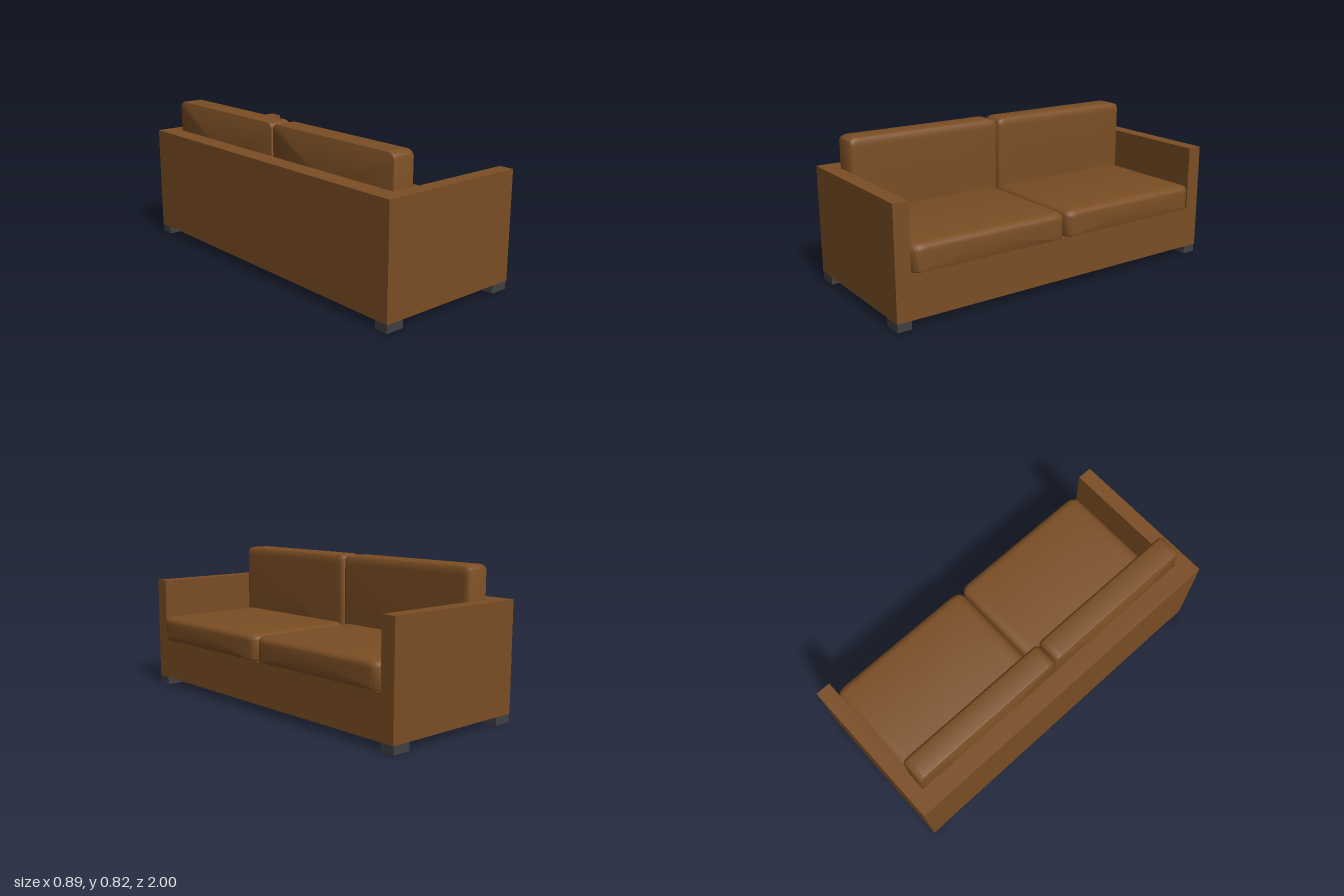
import * as THREE from 'three';
import { toCreasedNormals } from 'three/addons/utils/BufferGeometryUtils.js';

const leather = new THREE.MeshStandardMaterial({ color: 0x7b4e24 });
leather.name = 'brown leather';
const rubber = new THREE.MeshStandardMaterial({ color: 0x404040 });
rubber.name = 'dark grey feet';

// Box given by its min and max along each axis
function box(name, material, [x0, x1], [y0, y1], [z0, z1]) {
  const mesh = new THREE.Mesh(new THREE.BoxGeometry(x1 - x0, y1 - y0, z1 - z0), material);
  mesh.position.set((x0 + x1) / 2, (y0 + y1) / 2, (z0 + z1) / 2);
  mesh.name = name;
  return mesh;
}

// Rounded rectangle in the z-y plane, with softer corners at the top than the bottom
function section(x, z0, z1, y0, y1, topZ, topY, low) {
  const steps = 6, ring = [];
  const corners = [
    [z1 - topZ, y1 - topY, topZ, topY], [z0 + topZ, y1 - topY, topZ, topY],
    [z0 + low, y0 + low, low, low], [z1 - low, y0 + low, low, low],
  ];
  corners.forEach(([z, y, rz, ry], c) => {
    for (let i = 0; i <= steps; i++) {
      const a = (c + i / steps) * Math.PI / 2;
      ring.push([x, y + ry * Math.sin(a), z + rz * Math.cos(a)]);
    }
  });
  return ring;
}

// Cushion lofted from back to front; each profile row is [x, side inset, top inset, bottom inset]
function cushion(name, [z0, z1], [y0, y1], [topZ, topY, low], profile) {
  const rings = profile.map(([x, side, top, bottom]) => section(
    x, z0 + side, z1 - side, y0 + bottom, y1 - top,
    Math.max(topZ - side * 0.5, 0.004), Math.max(topY - top * 0.5, 0.004), low));
  const n = rings[0].length, points = rings.flat(), index = [];
  for (let r = 0; r < rings.length - 1; r++) {
    for (let i = 0; i < n; i++) {
      const a = r * n + i, b = r * n + (i + 1) % n;
      index.push(a, a + n, b, b, a + n, b + n);
    }
  }
  // End caps
  const cy = (y0 + y1) / 2, cz = (z0 + z1) / 2, last = (rings.length - 1) * n;
  const back = points.push([profile[0][0], cy, cz]) - 1;
  const front = points.push([profile[profile.length - 1][0], cy, cz]) - 1;
  for (let i = 0; i < n; i++) {
    const j = (i + 1) % n;
    index.push(back, i, j, front, last + j, last + i);
  }
  const geometry = new THREE.BufferGeometry();
  geometry.setAttribute('position', new THREE.Float32BufferAttribute(points.flat(), 3));
  geometry.setIndex(index);
  const mesh = new THREE.Mesh(toCreasedNormals(geometry, 0.7), leather);
  mesh.name = name;
  return mesh;
}

// Profile rows for a cushion with a tight back edge and a wide, soft front edge
function softProfile(x0, x1, depth, side, top, bottom) {
  const rows = [[x0, 0.01, 0.01, 0.003], [x0 + 0.003, 0.003, 0.003, 0.001], [x0 + 0.01, 0, 0, 0]];
  for (let i = 0; i <= 6; i++) {
    const a = i / 6 * Math.PI / 2, inset = 1 - Math.cos(a);
    rows.push([x1 - depth + depth * Math.sin(a), side * inset, top * inset, bottom * inset]);
  }
  return rows;
}

export function createModel() {
  const sofa = new THREE.Group();
  sofa.name = 'sofa';

  // Frame
  sofa.add(box('seatBase', leather, [-0.445, 0.42], [0.046, 0.282], [-0.916, 0.916]));
  sofa.add(box('backrest', leather, [-0.445, -0.338], [0.282, 0.643], [-0.916, 0.916]));

  for (const [side, s] of [['left', -1], ['right', 1]]) {
    const span = (a, b) => (s > 0 ? [a, b] : [-b, -a]);

    sofa.add(box(side + 'Arm', leather, [-0.445, 0.42], [0.046, 0.643], span(0.916, 1)));

    // Feet
    sofa.add(box(side + 'BackFoot', rubber, [-0.443, -0.338], [0, 0.046], span(0.919, 0.998)));
    sofa.add(box(side + 'FrontFoot', rubber, [0.31, 0.416], [0, 0.046], span(0.919, 0.998)));

    // Cushions
    sofa.add(cushion(side + 'SeatCushion', span(0.004, 0.913), [0.283, 0.43], [0.06, 0.03, 0.012],
      softProfile(-0.335, 0.443, 0.05, 0.05, 0.035, 0.008)));
    sofa.add(cushion(side + 'BackCushion', span(0.004, 0.913), [0.29, 0.822], [0.045, 0.03, 0.01],
      softProfile(-0.336, -0.194, 0.022, 0.03, 0.05, 0.01)));
  }
  return sofa;
}
